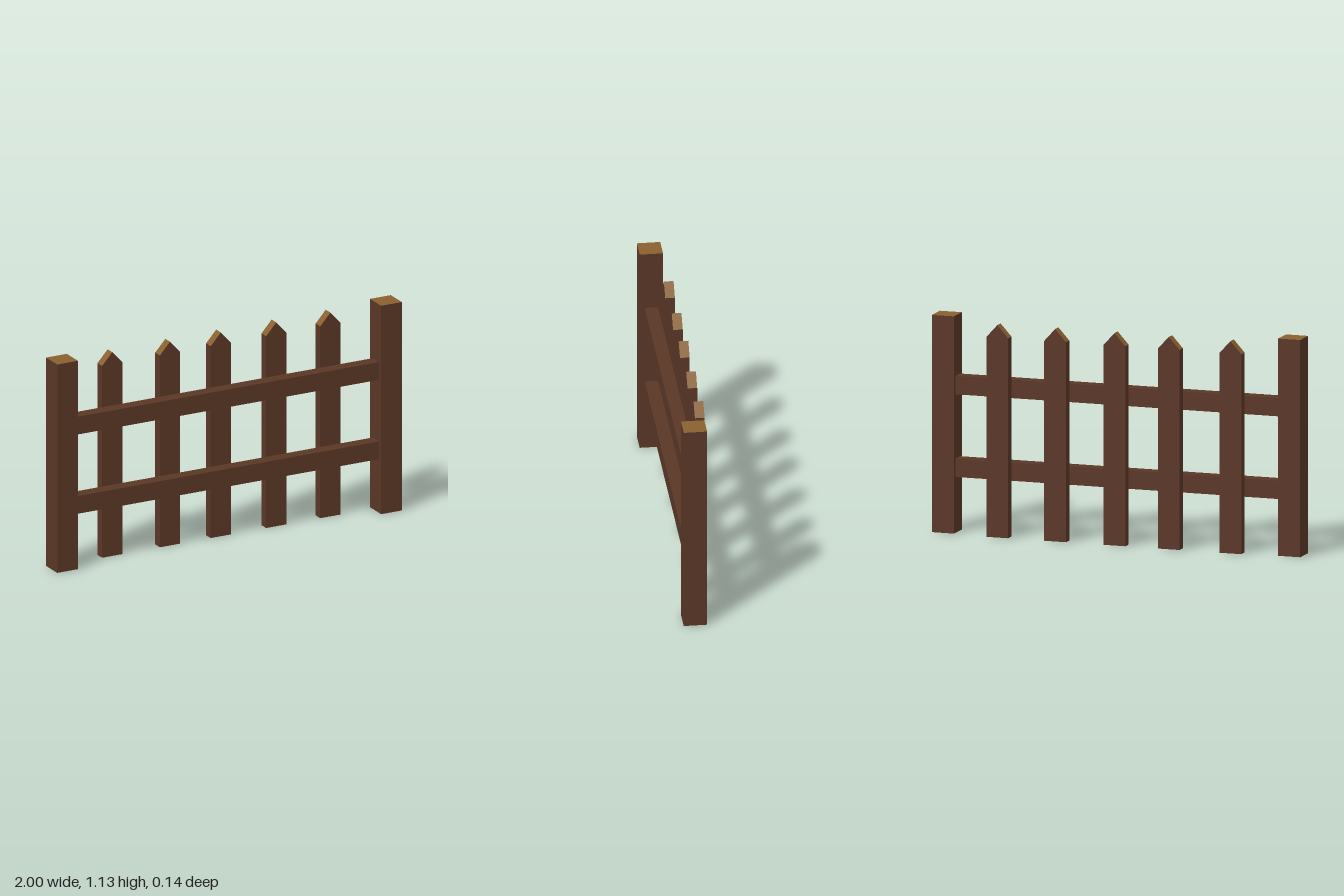
import * as THREE from 'three';

const wood = new THREE.MeshStandardMaterial({ color: 0x5a3726, side: THREE.DoubleSide });
wood.name = 'darkWood';
const cut = new THREE.MeshStandardMaterial({ color: 0x8a602e, side: THREE.DoubleSide });
cut.name = 'cutWood';

function addMesh(parent, name, geometry, material, x, y, z) {
  const mesh = new THREE.Mesh(geometry, material);
  mesh.name = name;
  mesh.position.set(x, y, z);
  parent.add(mesh);
  return mesh;
}

// Square post: four walls, open underneath, with a cut-wood top
function makePost(name, x) {
  const size = 0.12, height = 1.13;
  const post = new THREE.Group();
  post.name = name;
  post.position.set(x, 0, 0.012);
  const walls = new THREE.CylinderGeometry(
    size / Math.SQRT2, size / Math.SQRT2, height, 4, 1, true, Math.PI / 4).toNonIndexed();
  walls.computeVertexNormals();
  addMesh(post, name + 'Walls', walls, wood, 0, height / 2, 0);
  const top = new THREE.PlaneGeometry(size, size).rotateX(-Math.PI / 2);
  addMesh(post, name + 'Top', top, cut, 0, height, 0);
  return post;
}

// Pointed picket: sawn faces (slopes and foot) take the lighter cut colour
function makePicketGeometry() {
  const w = 0.059, shoulder = 1.04, tip = 1.105;
  const outline = new THREE.Shape([
    [-w, 0], [w, 0], [w, shoulder], [0, tip], [-w, shoulder],
  ].map(([x, y]) => new THREE.Vector2(x, y)));
  const geometry = new THREE.ExtrudeGeometry(outline, { depth: 0.05, bevelEnabled: false });
  geometry.clearGroups();
  const normal = geometry.attributes.normal;
  for (let i = 0; i < normal.count; i += 3) {
    geometry.addGroup(i, 3, Math.abs(normal.getY(i)) > 0.1 ? 1 : 0);
  }
  return geometry;
}

export function createModel() {
  const fence = new THREE.Group();
  fence.name = 'picketFence';

  // End posts
  fence.add(makePost('leftPost', 0.94), makePost('rightPost', -0.94));

  // Horizontal rails between the posts
  const railGeometry = new THREE.BoxGeometry(1.76, 0.096, 0.068);
  addMesh(fence, 'lowerRail', railGeometry, wood, 0, 0.338, 0.012);
  addMesh(fence, 'upperRail', railGeometry, wood, 0, 0.768, 0.012);

  // Unevenly spaced pickets on the back of the rails
  const picketGeometry = makePicketGeometry();
  [-0.63, -0.295, 0, 0.322, 0.636].forEach((x, i) => {
    addMesh(fence, 'picket' + (i + 1), picketGeometry, [wood, cut], x, 0, -0.072);
  });

  return fence;
}
